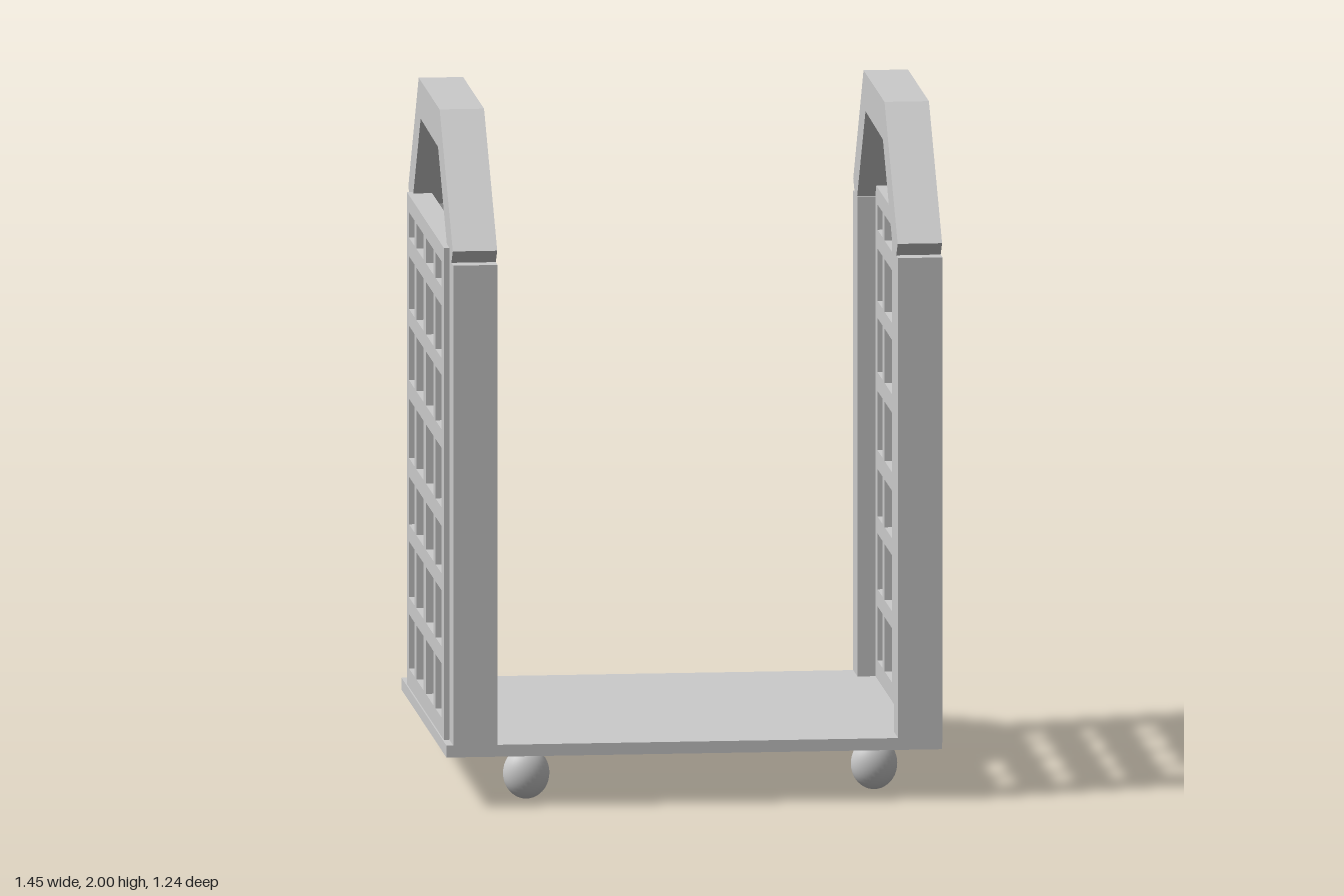
import * as THREE from 'three';

const material = new THREE.MeshStandardMaterial({ color: 0xcccccc, flatShading: true });
const smooth = new THREE.MeshStandardMaterial({ color: 0xcccccc });

// Box given by its min and max corners
function box(name, [x0, y0, z0], [x1, y1, z1]) {
  const mesh = new THREE.Mesh(new THREE.BoxGeometry(x1 - x0, y1 - y0, z1 - z0), material);
  mesh.position.set((x0 + x1) / 2, (y0 + y1) / 2, (z0 + z1) / 2);
  mesh.name = name;
  return mesh;
}

const toPoints = (pts) => pts.map(([z, y]) => new THREE.Vector2(z, y));

// Side profile in (z, y), extruded between two x positions
function sidePlate(name, shape, x0, x1) {
  const geometry = new THREE.ExtrudeGeometry(shape, { depth: x1 - x0, bevelEnabled: false });
  geometry.rotateY(-Math.PI / 2).translate(x1, 0, 0);
  const mesh = new THREE.Mesh(geometry, material);
  mesh.name = name;
  return mesh;
}

// Rectangular grid of openings
function latticeShape() {
  const columns = [[-0.45, -0.305], [-0.25, -0.045], [0.015, 0.23], [0.285, 0.445]];
  const rows = [[0.24, 0.4], [0.45, 0.615], [0.665, 0.805], [0.86, 1.035],
    [1.09, 1.25], [1.3, 1.455], [1.51, 1.585]];
  const shape = new THREE.Shape(toPoints([[-0.51, 0.17], [0.515, 0.17], [0.515, 1.635], [-0.51, 1.635]]));
  for (const [z0, z1] of columns) {
    for (const [y0, y1] of rows) {
      shape.holes.push(new THREE.Path(toPoints([[z0, y0], [z0, y1], [z1, y1], [z1, y0]])));
    }
  }
  return shape;
}

// Angular arch with mitred corners and square-cut feet
function handleShape() {
  return new THREE.Shape(toPoints([
    [0.61, 1.64], [0.245, 2], [-0.335, 2], [-0.62, 1.635], [-0.575, 1.595], [-0.515, 1.595],
    [-0.28, 1.888], [0.2, 1.882], [0.485, 1.595], [0.565, 1.595],
  ]));
}

function createSide(name, postX, panelX) {
  const side = new THREE.Group();
  side.name = name;
  side.add(
    box('frontPost', [postX[0], 0.17, 0.51], [postX[1], 1.6, 0.622]),
    box('backPost', [postX[0], 0.17, -0.62], [postX[1], 1.6, -0.505]),
    sidePlate('latticePanel', latticeShape(), ...panelX),
    sidePlate('handle', handleShape(), ...postX),
  );
  return side;
}

export function createModel() {
  const cart = new THREE.Group();
  cart.name = 'cart';
  cart.add(box('platform', [-0.73, 0.15, -0.622], [0.72, 0.185, 0.622]));

  cart.add(createSide('leftSide', [0.592, 0.722], [0.645, 0.716]));
  cart.add(createSide('rightSide', [-0.71, -0.58], [-0.726, -0.655]));

  // Four flattened ball casters
  const ball = new THREE.SphereGeometry(1, 32, 20);
  for (const [x, z] of [[0.545, 0.4], [-0.48, 0.465], [0.545, -0.475], [-0.48, -0.475]]) {
    const wheel = new THREE.Mesh(ball, smooth);
    wheel.name = 'wheel';
    wheel.scale.set(0.068, 0.076, 0.053);
    wheel.position.set(x, 0.076, z);
    cart.add(wheel);
  }
  return cart;
}
